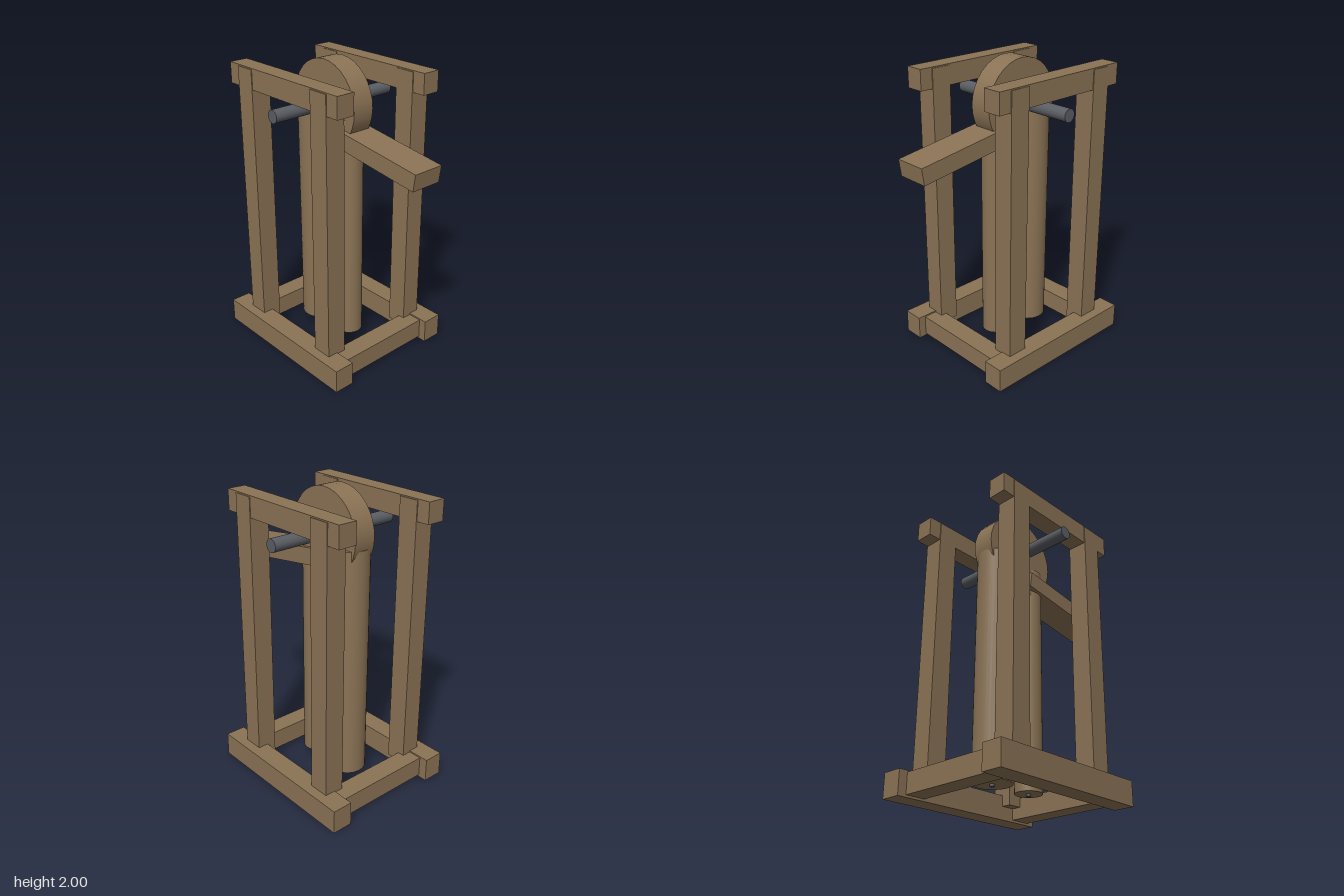
import * as THREE from 'three';

const wood = new THREE.MeshStandardMaterial({ color: 0x8b7355 });
const metal = new THREE.MeshStandardMaterial({ color: 0x5a5e64 });

export function createModel() {
  const model = new THREE.Group();

  const add = (name, geometry, x, y, z, material = wood) => {
    const mesh = new THREE.Mesh(geometry, material);
    mesh.name = name;
    mesh.position.set(x, y, z);
    model.add(mesh);
    return mesh;
  };
  // box given by its extents on each axis
  const beam = (name, [x0, x1], [y0, y1], [z0, z1]) =>
    add(name, new THREE.BoxGeometry(x1 - x0, y1 - y0, z1 - z0),
      (x0 + x1) / 2, (y0 + y1) / 2, (z0 + z1) / 2);
  // upright cylinder between two heights
  const column = (name, r, x, y0, y1, material) =>
    add(name, new THREE.CylinderGeometry(r, r, y1 - y0, 32), x, (y0 + y1) / 2, 0, material);

  // front and back frames: base rail, two posts, top beam
  for (const [side, s] of [['front', 1], ['back', -1]]) {
    const span = (a, b) => (s > 0 ? [a, b] : [-b, -a]);
    beam(side + 'BaseRail', [-0.71, 0.44], [0, 0.162], span(0.347, 0.487));
    beam(side + 'RightPost', [-0.555, -0.415], [0.09, 1.935], span(0.282, 0.42));
    beam(side + 'LeftPost', [0.15, 0.29], [0.09, 1.935], span(0.282, 0.42));
    beam(side + 'TopBeam', [-0.645, 0.38], [1.805, 1.943], span(0.288, 0.415));
  }

  // cross rails joining the base
  beam('rightCrossRail', [-0.65, -0.51], [0.015, 0.152], [-0.36, 0.36]);
  beam('leftCrossRail', [0.247, 0.386], [0.015, 0.152], [-0.36, 0.36]);

  // two hanging cylinders with small pins underneath
  column('largeCylinder', 0.126, -0.29, 0.085, 1.652);
  column('smallCylinder', 0.089, 0.027, 0.085, 1.652);
  column('largeCylinderPin', 0.016, -0.29, 0.07, 0.12, metal);
  column('smallCylinderPin', 0.016, 0.027, 0.07, 0.12, metal);

  // wheel on its axle
  const wheel = add('wheel', new THREE.CylinderGeometry(0.285, 0.285, 0.155, 32), -0.133, 1.715, -0.002);
  wheel.rotation.x = Math.PI / 2;
  const axle = add('axle', new THREE.CylinderGeometry(0.043, 0.043, 0.96, 24), -0.133, 1.715, 0, metal);
  axle.rotation.x = Math.PI / 2;

  // sloping lever
  const lever = add('lever', new THREE.BoxGeometry(0.765, 0.113, 0.222), 0.316, 1.491, 0);
  lever.rotation.z = -0.139;

  return model;
}
